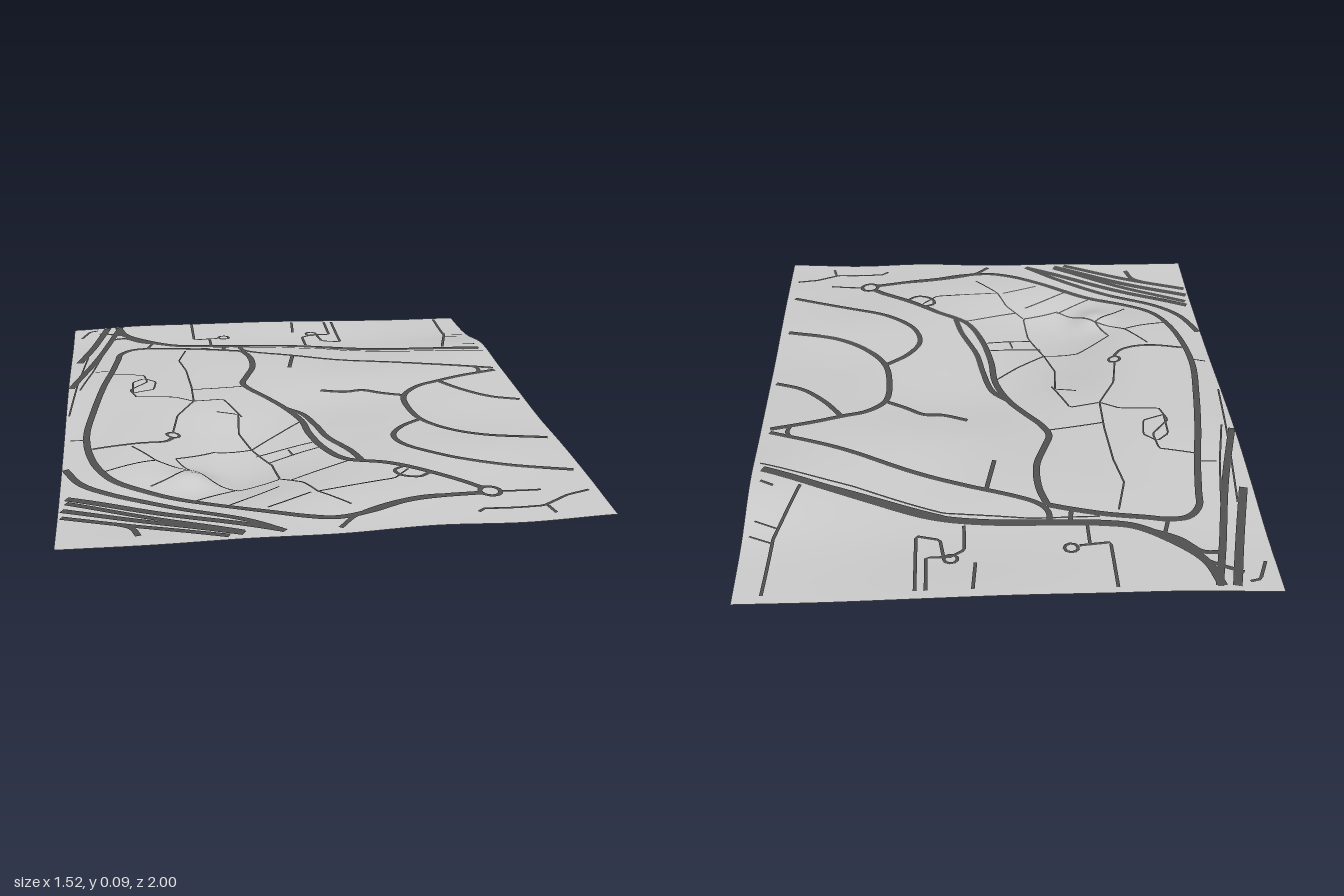
import * as THREE from 'three';

const W = 1.52, D = 2;

// Height samples in hundredths: rows run back to front, columns from -x to +x
const heights = [
  [6.5, 7.5, 7.5, 7.5, 7, 6.5, 6.5],
  [6, 7, 7, 6.5, 6, 6.5, 7],
  [7, 7.5, 7.5, 7.5, 7, 8.5, 10.5],
  [7.5, 8, 7, 7, 8, 9, 9.5],
  [6.5, 7.5, 6.5, 5.2, 6.5, 8, 8.5],
  [5, 7, 3.5, 5, 7, 7, 7.5],
  [4, 6, 1.4, 5, 7.5, 7.5, 7.5],
  [3.5, 3.5, 4, 6, 7, 6, 7],
  [4, 4, 4.5, 4.5, 5.5, 5, 6],
];

// Catmull-Rom interpolation along a row of values
function spline(v, t) {
  const n = v.length - 1;
  const i = Math.min(n - 1, Math.max(0, Math.floor(t)));
  const f = t - i;
  const a = v[Math.max(0, i - 1)], b = v[i], c = v[i + 1], d = v[Math.min(n, i + 2)];
  return b + 0.5 * f * (c - a + f * (2 * a - 5 * b + 4 * c - d + f * (3 * (b - c) + d - a)));
}

function ground(x, z) {
  const u = THREE.MathUtils.clamp(x / W + 0.5, 0, 1) * 6;
  const v = THREE.MathUtils.clamp(z / D + 0.5, 0, 1) * 8;
  const knoll = 0.025 * Math.exp(-((x + 0.37) ** 2 + (z - 0.56) ** 2) / 0.004);
  return Math.max(0, spline(heights.map((row) => spline(row, u)), v) / 100 + knoll);
}

// A ribbon draped on the ground; points are x, z pairs in hundredths
function ribbon(width, pts, smooth, closed = false) {
  const points = [];
  for (let i = 0; i < pts.length; i += 2) points.push(new THREE.Vector3(pts[i] / 100, 0, pts[i + 1] / 100));
  let path;
  if (smooth) path = new THREE.CatmullRomCurve3(points, closed, 'centripetal');
  else {
    path = new THREE.CurvePath();
    for (let i = 1; i < points.length; i++) path.add(new THREE.LineCurve3(points[i - 1], points[i]));
  }
  const n = Math.max(4, Math.ceil(path.getLength() / 0.015));
  const pos = [], index = [];
  for (let i = 0; i <= n; i++) {
    const p = path.getPointAt(i / n), t = path.getTangentAt(i / n);
    for (const s of [-0.5, 0.5]) {
      const x = THREE.MathUtils.clamp(p.x - t.z * s * width, -W / 2, W / 2);
      const z = THREE.MathUtils.clamp(p.z + t.x * s * width, -D / 2, D / 2);
      pos.push(x, ground(x, z) + 0.003, z);
    }
    if (i < n) {
      const a = i * 2;
      index.push(a, a + 2, a + 1, a + 1, a + 2, a + 3);
    }
  }
  const g = new THREE.BufferGeometry();
  g.setAttribute('position', new THREE.Float32BufferAttribute(pos, 3));
  g.setIndex(index);
  g.computeVertexNormals();
  // keep the normals upward
  return g;
}

export function createModel() {
  const model = new THREE.Group();
  const land = new THREE.MeshStandardMaterial({ color: 0xcccccc, side: THREE.DoubleSide });
  const asphalt = new THREE.MeshStandardMaterial({ color: 0x505050, side: THREE.DoubleSide });

  // Rolling ground sheet
  const sheet = new THREE.PlaneGeometry(W, D, 76, 100).rotateX(-Math.PI / 2);
  const p = sheet.attributes.position;
  for (let i = 0; i < p.count; i++) p.setY(i, ground(p.getX(i), p.getZ(i)));
  sheet.computeVertexNormals();
  const terrain = new THREE.Mesh(sheet, land);
  terrain.name = 'terrain';
  model.add(terrain);

  const layer = (name, smooth) => {
    const group = new THREE.Group();
    group.name = name;
    model.add(group);
    return (width, ...pts) => {
      const mesh = new THREE.Mesh(ribbon(width, pts, smooth), asphalt);
      mesh.name = name + group.children.length;
      group.add(mesh);
    };
  };

  // Ring road and its eastern side
  const ring = layer('ringRoad', true);
  ring(0.022, -13, -60, -19, -62, -30, -65, -42, -67, -48, -68, -54, -67, -58, -62, -59, -55, -61, -40, -64, -22,
    -67, 0, -69, 20, -68, 35, -65, 48, -60, 58, -50, 66, -35, 74, -20, 83, -8, 89, 0, 91, 10, 89, 20, 85, 30, 83, 43, 81);
  ring(0.022, -13, -60, -11, -52, -11, -40, -14, -30, -16, -23, -14, -17, -9, -9, -4, 0, 0, 12, 1, 25, 4, 40, 9, 51,
    20, 58, 30, 66, 40, 74, 44, 78);
  ring(0.02, -4, 0, 1, 6, 4, 18, 6, 30, 11, 44, 13, 53);
  ring(0.014, 0, 97, 5, 91, 12, 87, 25, 83, 38, 82);

  // Highways at the back and the two left corners
  const highway = layer('highway', true);
  highway(0.028, -59, -98, -56, -87, -48, -78, -38, -71, -28, -69, -10, -68, 5, -67, 20, -64, 40, -56, 60, -48, 73, -43);
  highway(0.02, 18, -64, 40, -55, 73, -43.5);
  highway(0.018, -61, -83, -56, -83, -50, -77, -38, -71);
  highway(0.026, -63, -98, -68, -75, -73, -53);
  highway(0.022, -58, -98, -62, -80, -68, -50, -75, -22);
  highway(0.016, -66, -92, -58, -88, -54, -85);
  highway(0.022, -75, 45, -70, 57, -62, 65, -45, 75, -25, 88, -15, 97);
  highway(0.026, -74, 66, -50, 78, -16, 96);
  highway(0.022, -74, 69, -50, 82, -26, 96);
  highway(0.026, -75, 74, -50, 85, -26, 97);
  highway(0.022, -75, 79, -50, 89, -30, 98);
  highway(0.018, -62, 84, -56, 88, -54, 94);

  // Side roads on the right half
  const side = layer('sideRoad', true);
  side(0.018, -13, -69, -13, -63, -10, -59, 10, -50, 30, -41, 50, -31, 73, -22);
  side(0.02, 73, -20, 60, -16, 50, -12, 43, -9, 37, -2, 36, 10, 38, 22, 45, 32, 55, 39, 73, 44);
  side(0.018, 37, -2, 30, -6, 24, -10, 18, -10, 10, -13);
  side(0.018, 38, 21, 30, 28, 26, 36, 28, 45, 38, 55, 52, 62, 73, 70);
  side(0.018, 51, -12, 57, -3, 65, 5, 74, 9);
  side(0.014, 66, -25, 67.5, -22, 67, -19);
  side(0.014, 5, -52, 2, -37);
  side(0.012, 31, 67, 27, 70, 22, 68, 21, 64, 24, 62);
  side(0.012, -67, 32, -54, 32, -45, 30, -42, 26);

  // Short service lanes
  const lane = layer('serviceLane', false);
  lane(0.012, -48, -68, -46, -75);
  lane(0.014, -20, -62, -19, -69);
  lane(0.01, -30, -98, -30, -78, -21, -79);
  lane(0.01, -24, -78, -24, -69);
  lane(0.01, 10, -97, 9, -85);
  lane(0.01, 12, -68, 12, -79, 16, -82, 23, -82, 23, -97);
  lane(0.01, 26, -97, 26, -72, 19, -74, 18, -82);
  lane(0.01, 68, -97, 67, -73, 61, -50);
  lane(0.006, 67, -75, 74, -72);
  lane(0.006, 66, -69, 73, -66);
  lane(0.01, 69, -51, 73, -49);
  lane(0.01, 39, 93, 41, 91, 58, 91, 66, 86, 73, 84);
  lane(0.01, 59, 91, 60, 96);
  lane(0.01, 48, 80, 60, 81);
  lane(0.01, -73, -87, -70, -95, -67, -96);

  // Footpaths
  const path = layer('footpath', false);
  path(0.006, -34, -63, -37, -50, -35, -38, -34, -20, -34, -5, -40, 8, -42, 22);
  path(0.006, -34, -17, -16, -20);
  path(0.006, -62, -36, -50, -33, -49, -25, -55, -17, -53, -10, -40, -9, -34, -5, -24, -7, -19, 8);
  path(0.006, -54, -14, -54, -25, -50, -29, -46, -25, -47, -17, -54, -14);
  path(0.006, -27, 4, -20, 6, -21, 20, -18, 32, -13, 45, -12, 58, -25, 64, -38, 52, -42, 42, -30, 33, -18, 32);
  path(0.006, -18, 32, -8, 22, 0, 13);
  path(0.006, -17, 37, 1, 33);
  path(0.006, -14, 43, 2, 38);
  path(0.006, -7, 36, -6, 41);
  path(0.006, -55, 34, -48, 45, -38, 52);
  path(0.006, -48, 45, -65, 51);
  path(0.006, -38, 52, -50, 62);
  path(0.006, -12, 58, -6, 65, -3, 74, 5, 84);
  path(0.006, -9, 61, 10, 52);
  path(0.006, -25, 63, -38, 72);
  path(0.006, -3, 74, 20, 70, 25, 64);
  path(0.006, -13, 65, -30, 78);
  path(0.006, -5, 74, -18, 81);
  path(0.006, -70, -60, -73, -25, -75, 3);
  path(0.006, -65, -60, -68, -40, -72, -20);
  path(0.006, -67, -40, -61, -40);
  path(0.006, -74, 23, -69, 24);
  path(0.006, -28, -66, -8, -66, 18, -62, 45, -50, 74, -40);

  // Roundabout and turning circles: centre x, z, radius, width
  for (const [x, z, r, w] of [[45.5, 80, 3, 0.014], [-42, 24, 2, 0.01], [-18.5, -80, 2, 0.01], [16, -83, 2, 0.01]]) {
    const pts = [];
    for (let i = 0; i < 12; i++) pts.push(x + r * Math.cos(i * Math.PI / 6), z + r * Math.sin(i * Math.PI / 6));
    const circle = new THREE.Mesh(ribbon(w, pts, true, true), asphalt);
    circle.name = 'turningCircle';
    model.add(circle);
  }
  return model;
}
